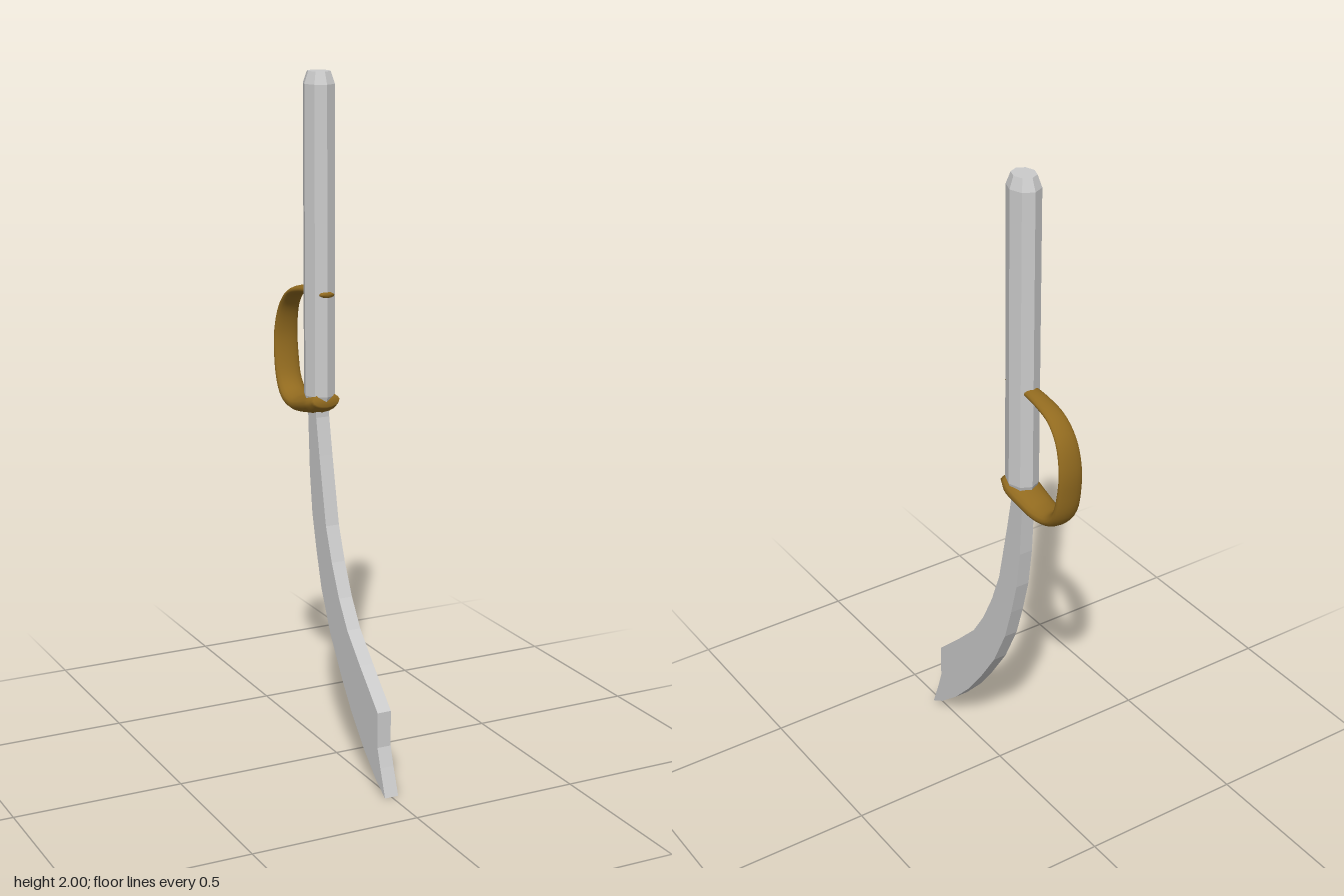
import * as THREE from 'three';

const grey = () => new THREE.MeshStandardMaterial({ color: 0xcccccc, flatShading: true });

// Octagonal grip with bevelled ends
function makeHandle() {
  const profile = [[0, 1.04], [0.034, 1.04], [0.045, 1.075], [0.045, 1.965], [0.033, 2], [0, 2]]
    .map(([r, y]) => new THREE.Vector2(r, y));
  const mesh = new THREE.Mesh(new THREE.LatheGeometry(profile, 8), grey());
  mesh.name = 'handle';
  mesh.scale.z = 1.17;
  mesh.position.z = -0.111;
  return mesh;
}

// Curved blade: side outline (z, y) extruded across x
function makeBlade() {
  const outline = [
    [-0.09, 1.06], [-0.09, 1.01], [-0.069, 0.9], [-0.027, 0.7], [0.011, 0.6], [0.058, 0.505],
    [0.111, 0.425], [0.191, 0.345], [0.302, 0.24], [0.302, 0.135], [0.32, 0.08], [0.35, 0],
    [0.297, 0.032], [0.217, 0.101], [0.138, 0.186], [0.074, 0.271], [0, 0.382], [-0.058, 0.504],
    [-0.09, 0.61], [-0.117, 0.716], [-0.133, 0.838], [-0.143, 1.01], [-0.143, 1.06],
  ].map(([z, y]) => new THREE.Vector2(z, y));
  const depth = 0.042;
  const geo = new THREE.ExtrudeGeometry(new THREE.Shape(outline), { depth, bevelEnabled: false });
  geo.rotateY(-Math.PI / 2).translate(depth / 2, 0, 0);
  const mesh = new THREE.Mesh(geo, grey());
  mesh.name = 'blade';
  return mesh;
}

// Knuckle guard: elliptical sections lofted along a loop, tapering into the handle
function makeGuard() {
  // z, y, half thickness, half width
  const stations = [
    [-0.066, 1.066, 0.02, 0.042], [-0.106, 1.05, 0.03, 0.053], [-0.165, 1.035, 0.026, 0.05],
    [-0.223, 1.025, 0.024, 0.046], [-0.281, 1.037, 0.022, 0.043], [-0.317, 1.075, 0.019, 0.041],
    [-0.336, 1.151, 0.013, 0.04], [-0.338, 1.225, 0.011, 0.038], [-0.316, 1.3, 0.011, 0.034],
    [-0.271, 1.347, 0.012, 0.03], [-0.212, 1.366, 0.013, 0.027], [-0.149, 1.374, 0.013, 0.024],
    [-0.056, 1.374, 0.008, 0.021],
  ];
  const path = new THREE.CatmullRomCurve3(stations.map(([z, y]) => new THREE.Vector3(0, y, z)));
  const sizes = new THREE.CatmullRomCurve3(stations.map((s) => new THREE.Vector3(s[2], s[3], 0)));
  const rings = 48, sides = 16;
  const pos = [], index = [];
  for (let i = 0; i <= rings; i++) {
    const c = path.getPoint(i / rings);
    const t = path.getTangent(i / rings);
    const s = sizes.getPoint(i / rings);
    for (let j = 0; j < sides; j++) {
      const a = (j / sides) * Math.PI * 2;
      const h = s.x * Math.sin(a);
      pos.push(s.y * Math.cos(a), c.y + t.z * h, c.z - t.y * h);
    }
  }
  for (let i = 0; i < rings; i++) {
    for (let j = 0; j < sides; j++) {
      const k = (j + 1) % sides;
      const a = i * sides + j, b = i * sides + k;
      index.push(a, b, a + sides, b, b + sides, a + sides);
    }
  }
  // End caps
  const first = pos.length / 3, top = rings * sides;
  for (const t of [0, 1]) pos.push(...path.getPoint(t).toArray());
  for (let j = 0; j < sides; j++) {
    const k = (j + 1) % sides;
    index.push(first, k, j, first + 1, top + j, top + k);
  }
  const geo = new THREE.BufferGeometry();
  geo.setAttribute('position', new THREE.Float32BufferAttribute(pos, 3));
  geo.setIndex(index);
  geo.computeVertexNormals();
  const mesh = new THREE.Mesh(geo, new THREE.MeshStandardMaterial({ color: 0x916a1f }));
  mesh.name = 'handGuard';
  return mesh;
}

export function createModel() {
  const group = new THREE.Group();
  group.name = 'cutlass';
  group.add(makeHandle(), makeBlade(), makeGuard());
  return group;
}
